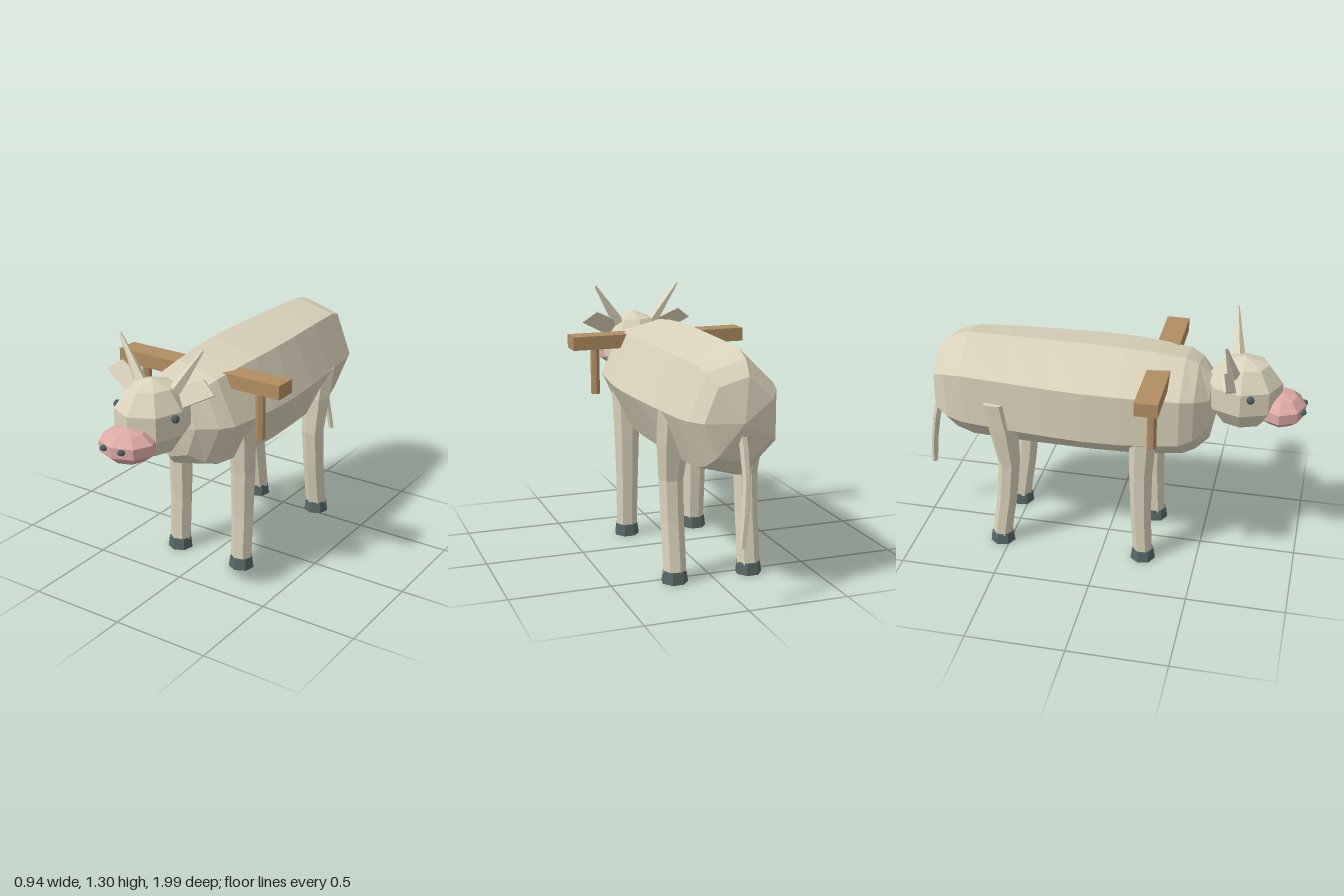
import * as THREE from 'three';

const mat = (color) => new THREE.MeshStandardMaterial({ color, flatShading: true });
const HIDE = mat(0xdad2ba), HOOF = mat(0x566866), PINK = mat(0xdcaaa4), WOOD = mat(0xb28e62);
const HORN = mat(0xe0d8c0), DARK = mat(0x4c5e60);

// Closed skin over elliptical rings [cx, cy, z, rx, ry], ordered by rising z
function loft(rings, sides) {
  const pos = [], index = [];
  for (const [cx, cy, z, rx, ry] of rings) {
    for (let j = 0; j < sides; j++) {
      const a = (j / sides) * Math.PI * 2;
      pos.push(cx + rx * Math.cos(a), cy + ry * Math.sin(a), z);
    }
  }
  for (let i = 0; i < rings.length - 1; i++) {
    for (let j = 0; j < sides; j++) {
      const a = i * sides + j, b = i * sides + ((j + 1) % sides);
      index.push(a, b, b + sides, a, b + sides, a + sides);
    }
  }
  const last = (rings.length - 1) * sides;
  for (let j = 1; j < sides - 1; j++) {
    index.push(0, j + 1, j, last, last + j, last + j + 1);
  }
  const geo = new THREE.BufferGeometry();
  geo.setAttribute('position', new THREE.Float32BufferAttribute(pos, 3));
  geo.setIndex(index);
  const flat = geo.toNonIndexed();
  flat.computeVertexNormals();
  return flat;
}

export function createModel() {
  const model = new THREE.Group();
  const add = (name, geo, material, x = 0, y = 0, z = 0) => {
    const mesh = new THREE.Mesh(geo, material);
    mesh.name = name;
    mesh.position.set(x, y, z);
    model.add(mesh);
    return mesh;
  };
  const ball = (name, material, p, r, w = 8, h = 5) => {
    const mesh = add(name, new THREE.SphereGeometry(1, w, h), material, ...p);
    mesh.scale.set(...r);
    return mesh;
  };

  // Seven-sided barrel body with rounded ends: [z, rx, ry]
  const body = [
    [-0.927, 0.002, 0.002], [-0.877, 0.175, 0.205], [-0.807, 0.225, 0.275], [-0.716, 0.25, 0.305],
    [-0.5, 0.275, 0.311], [-0.28, 0.297, 0.311], [-0.08, 0.31, 0.311], [0.1, 0.306, 0.307],
    [0.25, 0.29, 0.297], [0.395, 0.268, 0.28], [0.46, 0.225, 0.248], [0.525, 0.13, 0.185], [0.56, 0.002, 0.002],
  ];
  add('body', loft(body.map(([z, rx, ry]) => [0, 0, z, rx, ry]), 7), HIDE, 0, 0.855, 0);

  // Legs as [height, z, radius], with a hoof under each
  const legs = {
    front: [[0.05, 0.222, 0.052], [0.3, 0.21, 0.055], [0.53, 0.207, 0.061], [0.7, 0.214, 0.068], [0.82, 0.22, 0.072]],
    hind: [[0.05, -0.54, 0.054], [0.3, -0.502, 0.055], [0.5, -0.484, 0.058], [0.7, -0.51, 0.076], [0.86, -0.54, 0.08]],
  };
  for (const [end, path] of Object.entries(legs)) {
    for (const side of [1, -1]) {
      const label = side > 0 ? 'Left' : 'Right';
      const rings = path.map(([h, z, r]) => [0.192 * side, -z, h, r * 1.06, r]);
      add(end + 'Leg' + label, loft(rings, 7).rotateX(-Math.PI / 2), HIDE);
      add(end + 'Hoof' + label, new THREE.CylinderGeometry(0.058, 0.066, 0.06, 7), HOOF,
        0.193 * side, 0.03, path[0][1]);
    }
  }

  // Tapering tail
  const tail = [[0.03, 0.3, -0.983, 0.016], [0.01, 0.45, -0.965, 0.018], [-0.006, 0.6, -0.938, 0.02],
    [-0.006, 0.73, -0.908, 0.022], [0, 0.85, -0.875, 0.024]];
  add('tail', loft(tail.map(([x, y, z, r]) => [x, -z, y, r, r]), 6).rotateX(-Math.PI / 2), HIDE);

  // Head and muzzle
  ball('head', HIDE, [0, 0.95, 0.68], [0.178, 0.19, 0.2]);
  ball('muzzle', PINK, [0, 0.878, 0.87], [0.147, 0.083, 0.127]);

  // Ear outline around its root, seen from the front
  const earShape = new THREE.Shape([[0, 0.085], [0.13, 0.15], [0.205, 0.09], [0.05, 0]].map(
    ([x, y]) => new THREE.Vector2(x, y)));

  for (const side of [1, -1]) {
    const label = side > 0 ? 'Left' : 'Right';
    ball('eye' + label, DARK, [0.167 * side, 0.99, 0.729], [0.02, 0.02, 0.02], 8, 6);
    ball('nostril' + label, DARK, [0.05 * side, 0.888, 0.979], [0.019, 0.014, 0.018], 8, 6);

    // Horn: slim four-sided cone aimed up and outward
    const base = new THREE.Vector3(0.1 * side, 1.085, 0.635);
    const tip = new THREE.Vector3(0.236 * side, 1.293, 0.606);
    const dir = tip.clone().sub(base);
    const horn = add('horn' + label, new THREE.CylinderGeometry(0.006, 0.033, dir.length(), 5), HORN,
      ...base.clone().add(tip).multiplyScalar(0.5));
    horn.quaternion.setFromUnitVectors(new THREE.Vector3(0, 1, 0), dir.normalize());

    // Ear: thin leaf, leaning back; the left and right differ by a half turn
    const ear = add('ear' + label,
      new THREE.ExtrudeGeometry(earShape, { depth: 0.014, bevelEnabled: false }).translate(0, 0, -0.007),
      HIDE, 0.105 * side, 1.015, 0.652);
    ear.rotation.set(-0.38 * side, side > 0 ? 0 : Math.PI, 0);
    ear.rotation.order = 'YXZ';
    if (side < 0) ear.rotation.x = 0.38;

    // Yoke pin
    add('yokePin' + label, new THREE.CylinderGeometry(0.024, 0.024, 0.26, 6), WOOD, 0.338 * side, 0.9, 0.282);
  }

  // Yoke beam across the shoulders
  add('yokeBeam', new THREE.BoxGeometry(0.94, 0.07, 0.115), WOOD, 0, 1.05, 0.274);
  return model;
}
